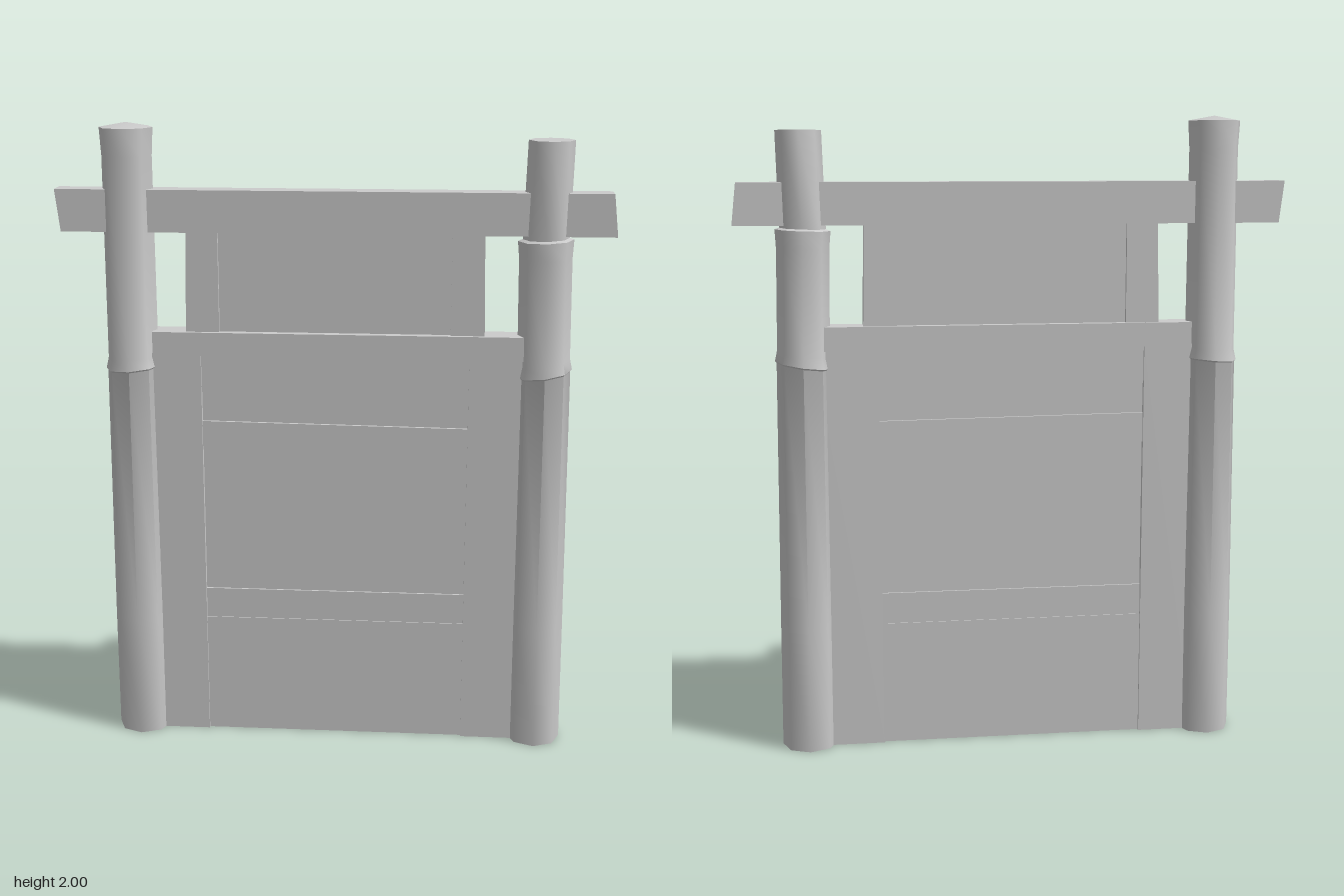
import * as THREE from 'three';
import { toCreasedNormals } from 'three/addons/utils/BufferGeometryUtils.js';

const material = new THREE.MeshStandardMaterial({ color: 0xcccccc });

// Flat board: outline in x/y, centred on z with the given half thickness
function board(name, outline, half) {
  const shape = new THREE.Shape(outline.map(([x, y]) => new THREE.Vector2(x, y)));
  const geo = new THREE.ExtrudeGeometry(shape, { depth: half * 2, bevelEnabled: false });
  geo.translate(0, 0, -half);
  const mesh = new THREE.Mesh(geo, material);
  mesh.name = name;
  return mesh;
}

// Plank between x0 and x1 whose lower and upper edges may slope (left y, right y)
const plank = (name, x0, x1, [bl, br], [tl, tr], half) =>
  board(name, [[x0, bl], [x1, br], [x1, tr], [x0, tl]], half);

// Eight-sided post: profile of [radius, y], centre line of [y, x], tilted joints
function post(name, profile, centre, joints) {
  const geo = new THREE.LatheGeometry(profile.map(([r, y]) => new THREE.Vector2(r, y)), 8);
  const pos = geo.attributes.position;
  for (let i = 0; i < pos.count; i++) {
    const x = pos.getX(i), y = pos.getY(i);
    const k = Math.max(0, centre.findIndex(([cy]) => cy >= y - 1e-4) - 1);
    const [y0, x0] = centre[k], [y1, x1] = centre[k + 1];
    const offset = x0 + (x1 - x0) * (y - y0) / (y1 - y0);
    const joint = joints.find(([low, high]) => y > low && y < high);
    pos.setXYZ(i, x + offset, y + (joint ? joint[2] * x : 0), pos.getZ(i));
  }
  const mesh = new THREE.Mesh(toCreasedNormals(geo, 0.9), material);
  mesh.name = name;
  return mesh;
}

export function createModel() {
  const gate = new THREE.Group();
  gate.name = 'gate';

  // Round posts with stepped joints
  gate.add(
    post('rightPost', [
      [0, 0], [0.088, 0], [0.088, 0.4], [0.083, 1.235], [0.088, 1.24], [0.08, 1.275],
      [0.078, 1.9], [0.083, 1.985], [0, 2],
    ], [[0, -0.642], [2, -0.638]], [[1.2, 1.3, 0.08]]),
    post('leftPost', [
      [0, 0], [0.088, 0], [0.087, 0.4], [0.083, 1.235], [0.088, 1.24], [0.081, 1.275],
      [0.081, 1.6], [0.085, 1.655], [0.071, 1.66], [0.07, 1.955], [0, 1.955],
    ], [[0, 0.659], [1.25, 0.65], [1.655, 0.643], [1.96, 0.65]],
    [[1.2, 1.3, 0.15], [1.64, 1.67, 0.04]]),
  );

  // Cross beam with slanted ends and the rail below it
  gate.add(
    board('topBeam', [[-0.845, 1.67], [0.855, 1.67], [0.84, 1.8], [-0.86, 1.8]], 0.035),
    plank('middleRail', -0.57, 0.59, [1.285, 1.285], [1.36, 1.36], 0.043),
  );

  // Upper and lower stiles on both sides
  for (const s of [-1, 1]) {
    const inner = s * 0.36;
    const outline = [[inner, 1.35], [s * 0.465, 1.35], [s * 0.458, 1.68], [inner, 1.68]];
    gate.add(board('upperStile', outline, 0.03));
    const [x0, x1] = s < 0 ? [-0.6, -0.42] : [0.42, 0.62];
    gate.add(plank('lowerStile', x0, x1, [0, 0], [1.29, 1.29], 0.035));
  }
  gate.add(plank('upperPanel', -0.37, 0.37, [1.35, 1.35], [1.68, 1.68], 0.018));

  // Lower panel with its cross planks
  gate.add(
    plank('lowerPanel', -0.43, 0.43, [0.39, 0.39], [1.29, 1.29], 0.017),
    plank('headPlank', -0.43, 0.43, [1.165, 1.19], [1.29, 1.29], 0.026),
    plank('lockPlank', -0.43, 0.43, [0.975, 0.975], [1.07, 1.06], 0.026),
    plank('lowerPlank', -0.43, 0.43, [0.4, 0.4], [0.5, 0.5], 0.023),
    plank('kickPanel', -0.43, 0.43, [0, 0], [0.4, 0.4], 0.026),
  );
  return gate;
}
